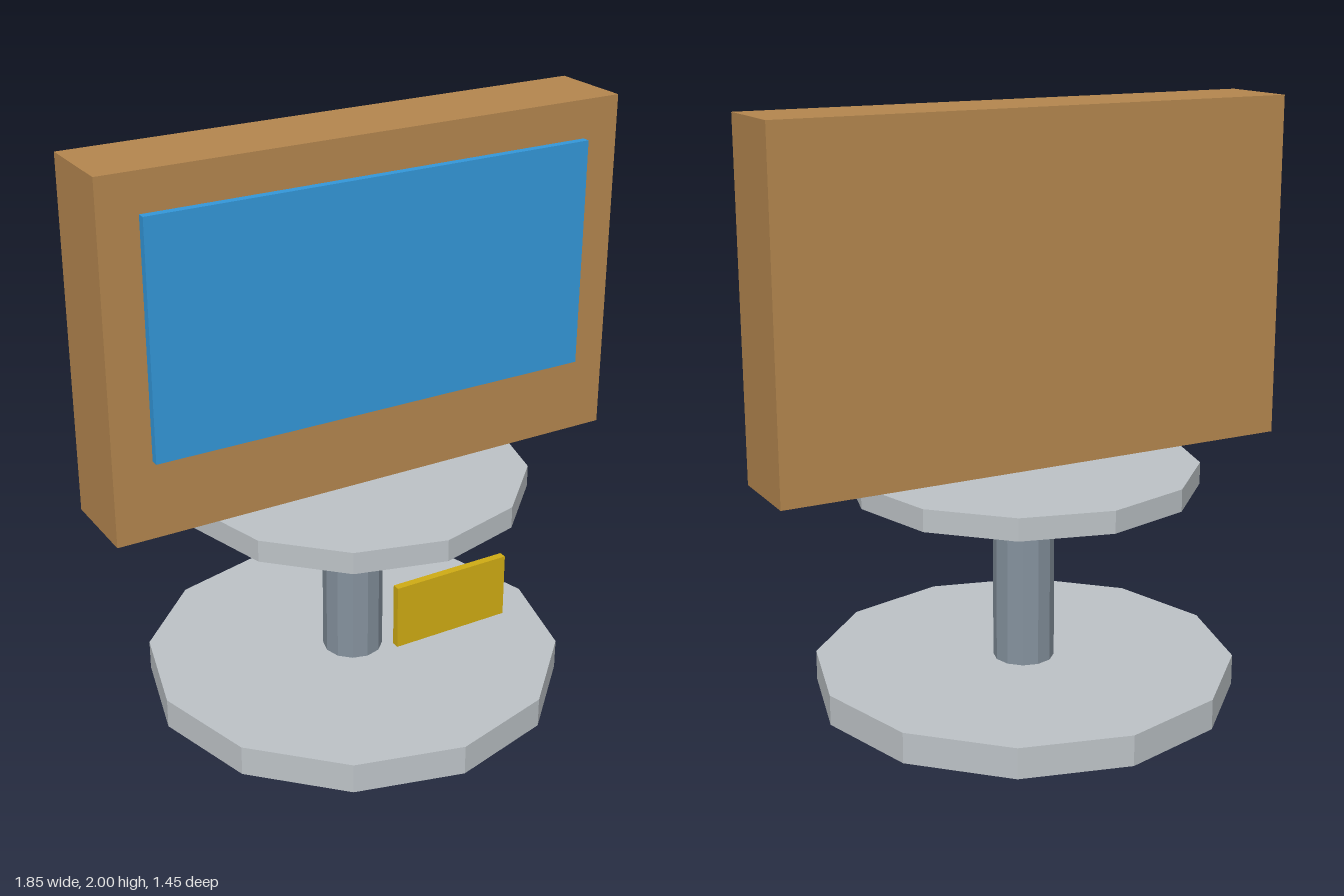
import * as THREE from 'three';

const material = (name, color) => {
  const m = new THREE.MeshStandardMaterial({ color, flatShading: true });
  m.name = name;
  return m;
};

export function createModel() {
  const model = new THREE.Group();
  model.name = 'displayStand';

  const lightGrey = material('light grey', 0xbdc3c7);
  const slateGrey = material('slate grey', 0x85929e);
  const wood = material('wood brown', 0xb5874f);
  const blue = material('screen blue', 0x3498db);
  const gold = material('plate gold', 0xd0ac14);

  const add = (name, geometry, mat, y, z = 0) => {
    const mesh = new THREE.Mesh(geometry, mat);
    mesh.name = name;
    mesh.position.set(0, y, z);
    model.add(mesh);
  };

  // Twelve-sided round part between two heights
  const disc = (name, radius, y0, y1, mat) =>
    add(name, new THREE.CylinderGeometry(radius, radius, y1 - y0, 12), mat, (y0 + y1) / 2);

  // Box of a given width between two heights and two depths
  const box = (name, width, y0, y1, z0, z1, mat) =>
    add(name, new THREE.BoxGeometry(width, y1 - y0, z1 - z0), mat, (y0 + y1) / 2, (z0 + z1) / 2);

  // Pedestal
  disc('base', 0.725, 0, 0.105, lightGrey);
  disc('column', 0.105, 0.105, 0.73, slateGrey);
  disc('turntable', 0.595, 0.73, 0.805, lightGrey);

  // Cabinet with raised screen
  box('cabinet', 1.845, 0.82, 2, -0.147, 0.147, wood);
  box('screen', 1.58, 1.085, 1.87, 0.147, 0.174, blue);

  // Plate floating in front of the column
  box('namePlate', 0.4, 0.492, 0.702, 0.595, 0.62, gold);

  return model;
}
